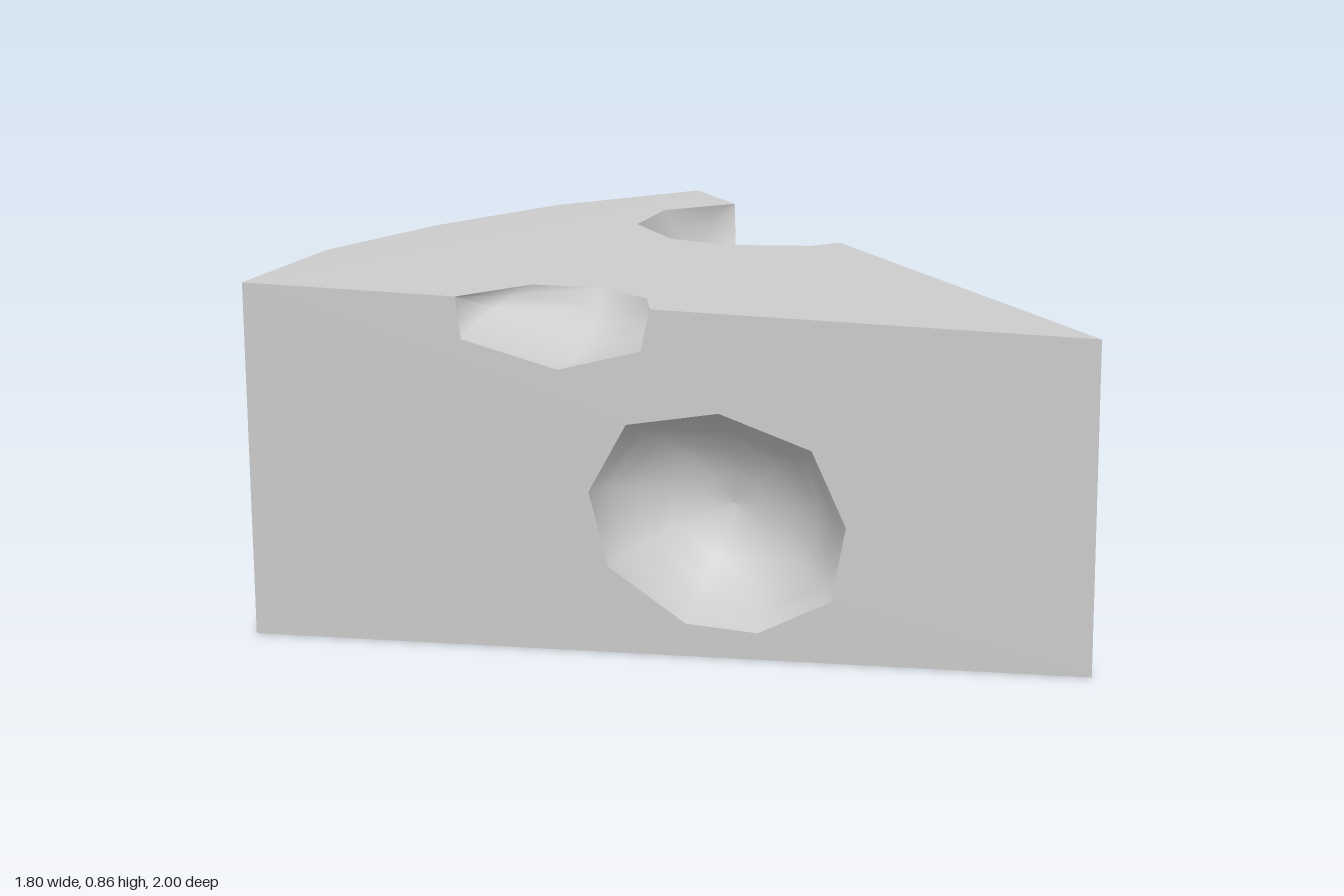
import * as THREE from 'three';

// Plan of the wedge: tip, two back corners and the rounded rind between them
const TIP = [-0.022, 1], BACK_Z = -0.81;
const RIND = [[0.902, BACK_Z], [0.45, -0.965], [0, -1], [-0.455, -0.965], [-0.9, BACK_Z]];
const topY = z => 0.795 + 0.068 * Math.min(1, (1 - z) / (1 - BACK_Z));
const cornerX = side => RIND[side > 0 ? 0 : 4][0];
const wallX = (side, z) => THREE.MathUtils.mapLinear(z, 1, BACK_Z, TIP[0], cornerX(side));

// Per side: round hole and notch edge on the wall as [z, y], notch edge on top as [x, z]
const SIDES = [
  {
    name: 'left', side: 1, depth: 0.18,
    hole: [[0.51, 0.67], [0.285, 0.65], [0.135, 0.52], [0.1, 0.33], [0.195, 0.145],
      [0.425, 0.108], [0.65, 0.19], [0.688, 0.345], [0.65, 0.555]],
    notch: [[-0.605, topY(-0.605)], [-0.6, 0.72], [-0.47, 0.62], [-0.35, 0.605],
      [-0.2, 0.625], [-0.12, 0.67], [-0.08, 0.74], [-0.07, topY(-0.07)]],
    rim: [[0.69, -0.647], [0.58, -0.685], [0.36, -0.61], [0.255, -0.42], [0.285, -0.27], [0.435, -0.1]],
    centre: new THREE.Vector3(0.58, 0.87, -0.38),
  },
  {
    name: 'right', side: -1, depth: 0.22,
    hole: [[0.214, 0.59], [0.017, 0.555], [-0.065, 0.39], [-0.024, 0.21], [0.142, 0.08],
      [0.297, 0.065], [0.452, 0.15], [0.483, 0.33], [0.41, 0.51]],
    notch: [[-0.345, topY(-0.345)], [-0.335, 0.745], [-0.128, 0.68], [0.05, 0.73], [0.07, topY(0.07)]],
    rim: [[-0.445, -0.305], [-0.36, -0.16], [-0.38, -0.01]],
    centre: new THREE.Vector3(-0.58, 0.86, -0.13),
  },
];
for (const s of SIDES) { // the two notch edges meet where wall and top meet
  const ends = [s.notch[0][0], s.notch.at(-1)[0]].map(z => [wallX(s.side, z), z]);
  s.rim = [ends[0], ...s.rim, ends[1]];
}

const grey = new THREE.MeshStandardMaterial({ color: 0xcccccc });
const hollow = new THREE.MeshStandardMaterial({ color: 0xcccccc, side: THREE.DoubleSide });

function part(name, geometry, material = grey) {
  const mesh = new THREE.Mesh(geometry, material);
  mesh.name = name;
  return mesh;
}

// Flat outline (with optional hole) whose points are placed in space by a rule
function panel(outline, place, hole) {
  const vec = list => list.map(p => new THREE.Vector2(...p));
  const shape = new THREE.Shape(vec(outline));
  if (hole) shape.holes.push(new THREE.Path(vec(hole)));
  const geometry = new THREE.ShapeGeometry(shape);
  const pos = geometry.attributes.position;
  for (let i = 0; i < pos.count; i++) pos.setXYZ(i, ...place(pos.getX(i), pos.getY(i)));
  geometry.computeVertexNormals();
  return geometry;
}

// Smooth skin over rows of points
function skin(rows, closed = false) {
  const n = rows[0].length, index = [];
  for (let r = 0; r < rows.length - 1; r++) {
    for (let i = 0; i < (closed ? n : n - 1); i++) {
      const a = r * n + i, b = r * n + (i + 1) % n;
      index.push(a, b, a + n, b, b + n, a + n);
    }
  }
  const geometry = new THREE.BufferGeometry().setFromPoints(rows.flat());
  geometry.setIndex(index);
  geometry.computeVertexNormals();
  return geometry;
}

// Round hollow sunk into a side wall: a spherical cap starting at the hole's edge
function bowl({ side, hole, depth }) {
  const edge = hole.map(([z, y]) => new THREE.Vector3(wallX(side, z), y, z));
  const mid = edge.reduce((sum, p) => sum.add(p), new THREE.Vector3()).divideScalar(edge.length);
  const inward = new THREE.Vector3(side * (BACK_Z - 1), 0, side * (TIP[0] - cornerX(side))).normalize();
  const capAngle = 2 * Math.atan(depth / 0.3);
  const rows = [];
  for (let k = 0; k <= 5; k++) {
    const a = capAngle * (1 - k / 5);
    const spread = Math.max(Math.sin(a) / Math.sin(capAngle), 0.001);
    const sunk = depth * (Math.cos(a) - Math.cos(capAngle)) / (1 - Math.cos(capAngle));
    rows.push(edge.map(p => mid.clone().lerp(p, spread).addScaledVector(inward, sunk)));
  }
  return skin(rows, true);
}

// Scoop that cuts through both the top and a side wall
function scoop({ side, notch, rim, centre }) {
  const rows = [];
  for (let k = 0; k <= 5; k++) {
    rows.push(rim.map(([x, z], i) => {
      const p = new THREE.Vector3(x, topY(z), z).sub(centre);
      const [wz, wy] = notch[i];
      const q = new THREE.Vector3(wallX(side, wz), wy, wz).sub(centre);
      const radius = THREE.MathUtils.lerp(p.length(), q.length(), k / 5);
      return p.lerp(q, k / 5).setLength(radius).add(centre);
    }));
  }
  return skin(rows);
}

export function createModel() {
  const model = new THREE.Group();
  model.name = 'cheeseWedge';

  // Side walls with their hollows
  for (const s of SIDES) {
    const flip = ([z, y]) => [-s.side * z, y];
    const outline = [[1, 0], [BACK_Z, 0], [BACK_Z, topY(BACK_Z)], ...s.notch, [1, topY(1)]];
    const place = (u, y) => [wallX(s.side, -s.side * u), y, -s.side * u];
    model.add(
      part(s.name + 'Wall', panel(outline.map(flip), place, s.hole.map(flip))),
      part(s.name + 'Hole', bowl(s), hollow),
      part(s.name + 'TopScoop', scoop(s), hollow),
    );
  }

  // Sloping top, and the level strip along the rind
  const up = ([x, z]) => [x, -z];
  const onTop = (x, v) => [x, topY(-v), -v];
  const slope = [TIP, ...[...SIDES[0].rim].reverse(), RIND[0], RIND[4], ...SIDES[1].rim];
  model.add(part('top', panel(slope.map(up), onTop)));
  model.add(part('topBackStrip', panel(RIND.map(up), onTop)));

  // Underside
  model.add(part('base', panel([TIP, ...RIND], (x, z) => [x, 0, z])));

  // Curved rind at the back
  const ring = height => RIND.map(([x, z]) => new THREE.Vector3(x, height, z));
  model.add(part('rind', skin([ring(0), ring(topY(BACK_Z))])));
  return model;
}
